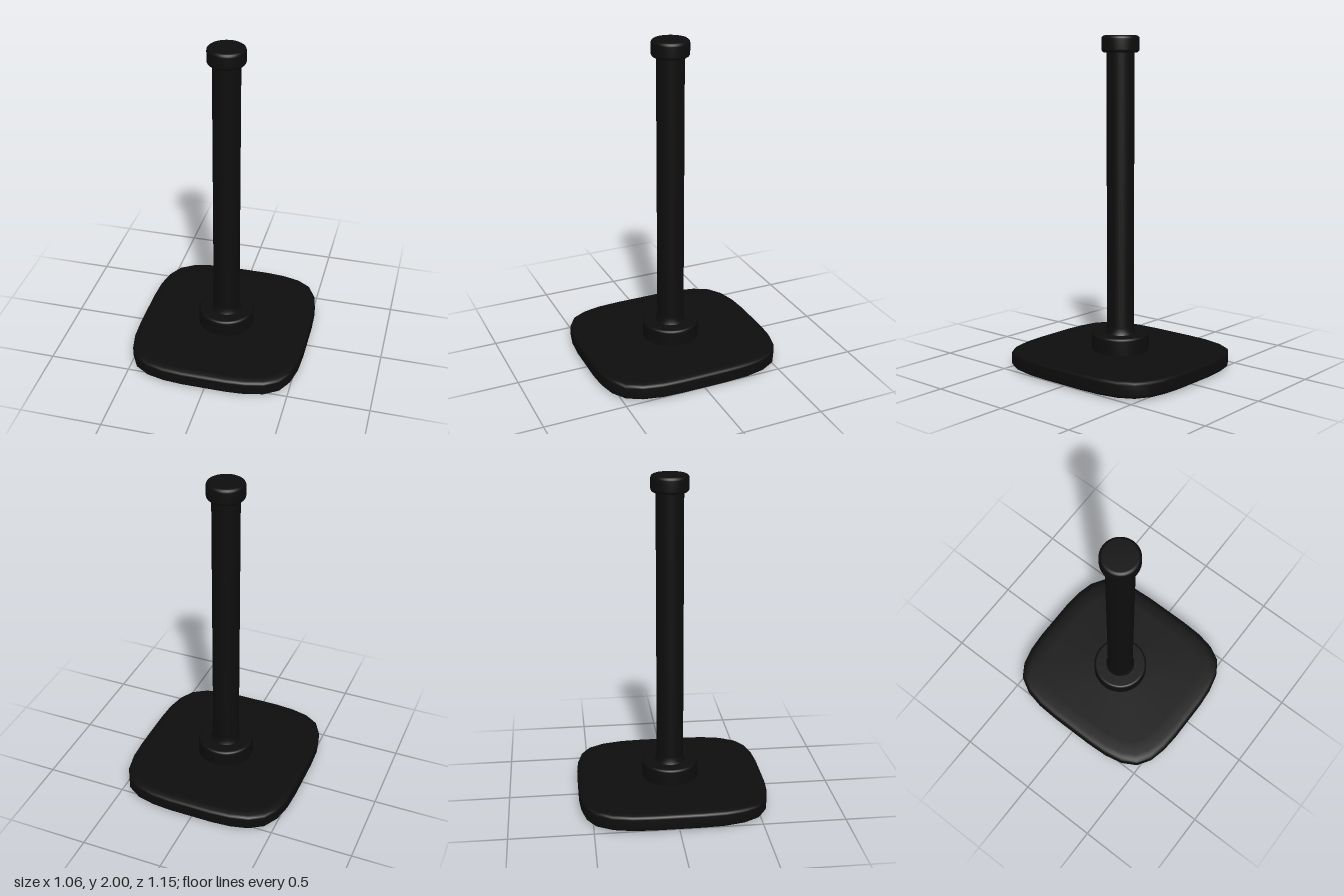
import * as THREE from 'three';
import { mergeVertices } from 'three/addons/utils/BufferGeometryUtils.js';

const black = new THREE.MeshStandardMaterial({ color: 0x0d0d0d });
black.name = 'black';

// Smooth turned solid from [radius, height] pairs, bottom to top
function turned(profile, segments) {
  return new THREE.LatheGeometry(profile.map(([r, y]) => new THREE.Vector2(r, y)), segments);
}

// Disc between two heights with softly rounded rims
function roundedDisc(radius, y0, y1, bevel) {
  const profile = [[0, y0]];
  for (const [y, start] of [[y0 + bevel, -Math.PI / 2], [y1 - bevel, 0]]) {
    for (let i = 0; i <= 4; i++) {
      const a = start + (i / 4) * (Math.PI / 2);
      profile.push([radius - bevel + bevel * Math.cos(a), y + bevel * Math.sin(a)]);
    }
  }
  profile.push([0, y1]);
  return turned(profile, 48);
}

// Rounded-square base plate: a unit disc whose rim is moved onto the outline
function basePlate() {
  const quarter = [[0, 0.575], [0.14, 0.575], [0.257, 0.566], [0.366, 0.54], [0.45, 0.486],
    [0.5, 0.396], [0.525, 0.28], [0.532, 0.145], [0.532, 0]];
  const profile = [[0, 0], [0.8, 0.001], [0.92, 0.004], [0.97, 0.01], [0.993, 0.019], [1, 0.03],
    [1, 0.088], [0.993, 0.099], [0.97, 0.106], [0.92, 0.11], [0.8, 0.112], [0, 0.112]];
  const geometry = turned(profile, 32);
  const pos = geometry.attributes.position;
  for (let i = 0; i < pos.count; i++) {
    const x = pos.getX(i), z = pos.getZ(i), r = Math.hypot(x, z);
    const k = Math.round(Math.atan2(Math.abs(x), Math.abs(z)) / (Math.PI / 16));
    const [ox, oz] = quarter[k];
    pos.setX(i, Math.sign(x) * ox * r);
    pos.setZ(i, Math.sign(z) * oz * r);
  }
  geometry.deleteAttribute('uv');
  geometry.deleteAttribute('normal');
  const merged = mergeVertices(geometry, 1e-4);
  merged.computeVertexNormals();
  return merged;
}

export function createModel() {
  const model = new THREE.Group();
  model.name = 'postStand';
  const add = (name, geometry) => {
    const mesh = new THREE.Mesh(geometry, black);
    mesh.name = name;
    model.add(mesh);
  };

  add('basePlate', basePlate());
  add('baseCollar', roundedDisc(0.173, 0.1, 0.215, 0.015));
  // Post with a small flare where it meets the collar
  add('post', turned([[0.1, 0.2], [0.092, 0.218], [0.085, 0.235], [0.082, 0.26], [0.082, 1.92]], 48));
  add('topCap', roundedDisc(0.112, 1.9, 2, 0.02));
  return model;
}
